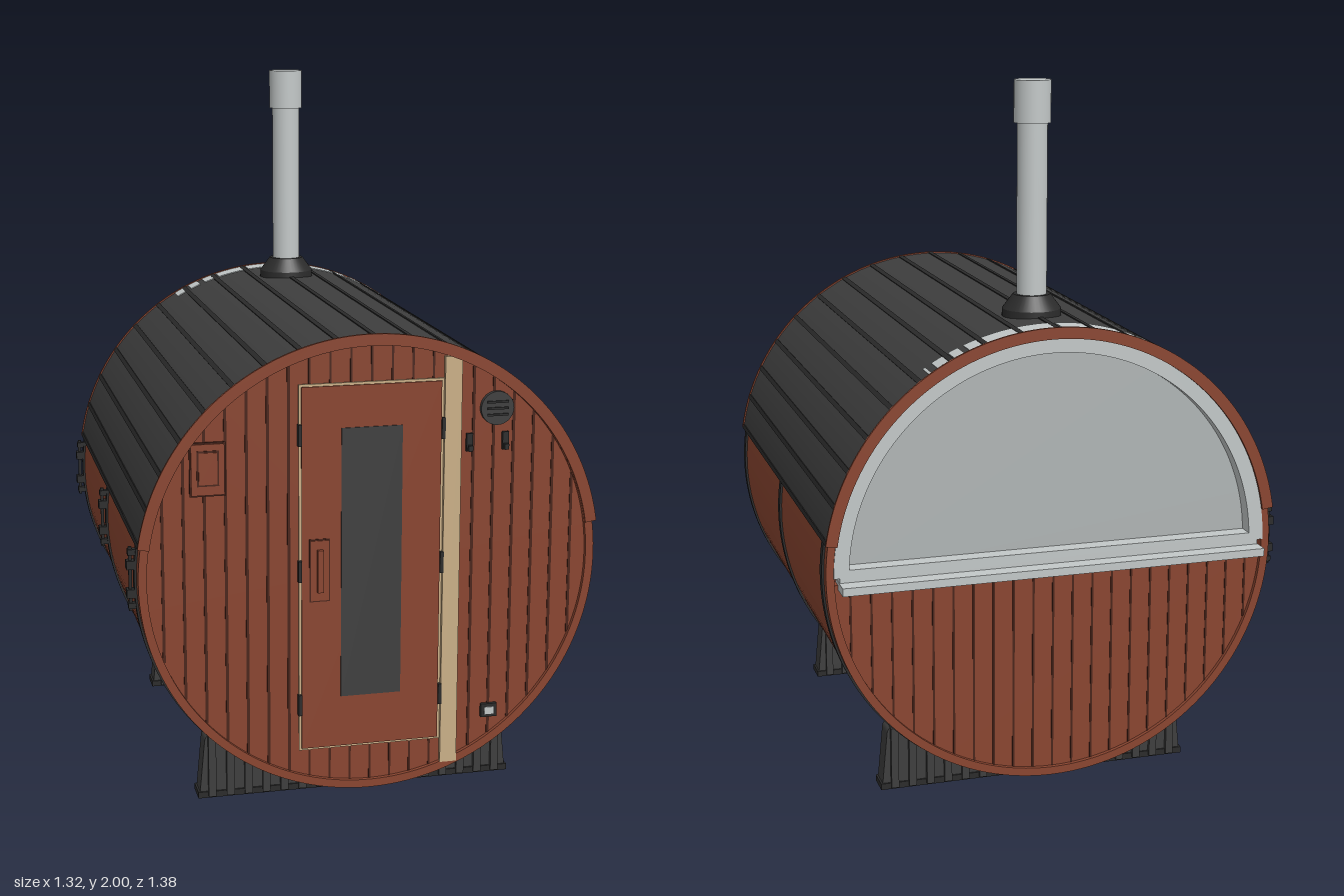
import * as THREE from 'three';
import { toCreasedNormals } from 'three/addons/utils/BufferGeometryUtils.js';

const material = (name, color) => new THREE.MeshStandardMaterial({ name, color });
const CX = 0.006, CY = 0.708; // barrel axis
const DEG = Math.PI / 180;

export function createModel() {
  const root = new THREE.Group();
  root.name = 'barrelSauna';
  const wood = material('redWood', 0x8a4530);
  const groove = material('darkGroove', 0x4a2419);
  const roofMat = material('roofShingle', 0x3e3e3e);
  const dark = material('blackMetal', 0x2b2b2b);
  const glassMat = material('smokedGlass', 0x3f3f3f);
  const cream = material('paleWood', 0xcbb088);
  const silver = material('silver', 0xc3c8c8);
  const pane = material('rearGlass', 0xb0b5b5);

  const add = (name, geo, mat, x = 0, y = 0, z = 0, parent = root) => {
    const m = new THREE.Mesh(geo, mat);
    m.name = name;
    m.position.set(x, y, z);
    parent.add(m);
    return m;
  };
  // Box given by its x, y and z ranges
  const box = (name, mat, x0, x1, y0, y1, z0, z1) => add(name,
    new THREE.BoxGeometry(x1 - x0, y1 - y0, z1 - z0), mat, (x0 + x1) / 2, (y0 + y1) / 2, (z0 + z1) / 2);
  // Curved slab around the barrel axis
  const arc = (name, mat, r0, r1, a0, a1, z0, z1, flat = false) => {
    const s = new THREE.Shape();
    s.absarc(0, 0, r1, a0 * DEG, a1 * DEG, false);
    s.absarc(0, 0, r0, a1 * DEG, a0 * DEG, true);
    const segs = Math.max(2, Math.round((a1 - a0) / (flat ? 5 : 3)));
    const g = new THREE.ExtrudeGeometry(s, { depth: z1 - z0, bevelEnabled: false, curveSegments: segs });
    return add(name, flat ? g : toCreasedNormals(g, 0.5), mat, CX, CY, z0);
  };
  const disc = (name, mat, r, x, y, z0, z1) => {
    const g = new THREE.CylinderGeometry(r, r, z1 - z0, r > 0.3 ? 96 : 28).rotateX(Math.PI / 2);
    return add(name, g, mat, x, y, (z0 + z1) / 2);
  };
  const chord = (x) => Math.sqrt(Math.max(0, 0.62 ** 2 - (x - CX) ** 2));

  // Stave shell and end walls
  arc('staveShellTop', wood, 0.62, 0.643, 0, 180, -0.642, 0.677, true);
  arc('staveShellBottom', wood, 0.62, 0.643, 180, 360, -0.642, 0.677, true);
  disc('frontWall', wood, 0.622, CX, CY, 0.62, 0.665);

  // Front plank grooves, broken by the door
  for (let i = -10; i <= 10; i++) {
    const x = CX + i * 0.0575, h = chord(x);
    if (Math.abs(x - 0.005) < 0.2) {
      box('frontGroove', groove, x - 0.003, x + 0.003, 1.22, CY + h, 0.66, 0.667);
      box('frontGroove', groove, x - 0.003, x + 0.003, CY - h, 0.2, 0.66, 0.667);
    } else {
      box('frontGroove', groove, x - 0.004, x + 0.004, CY - h, CY + h, 0.66, 0.667);
    }
  }

  // Door with glass, handle and hinges
  box('doorFrame', cream, -0.197, 0.207, 0.19, 1.228, 0.66, 0.67);
  box('doorPanel', wood, -0.19, 0.2, 0.196, 1.221, 0.66, 0.674);
  box('doorGlass', glassMat, -0.08, 0.09, 0.342, 1.105, 0.67, 0.677);
  box('doorTrim', cream, 0.208, 0.256, 0.12, 1.288, 0.66, 0.678);
  for (const y of [0.325, 0.71, 1.09]) {
    for (const x of [-0.195, 0.205]) box('hinge', dark, x - 0.005, x + 0.005, y - 0.03, y + 0.03, 0.66, 0.68);
  }
  box('handlePlate', groove, -0.169, -0.111, 0.621, 0.799, 0.67, 0.676);
  box('handleBack', wood, -0.165, -0.115, 0.625, 0.795, 0.67, 0.679);
  box('handleGrip', wood, -0.148, -0.132, 0.65, 0.77, 0.67, 0.69);

  // Framed vent on one side of the door
  box('ventOutline', groove, -0.494, -0.396, 0.936, 1.084, 0.66, 0.671);
  box('ventFrame', wood, -0.49, -0.4, 0.94, 1.08, 0.66, 0.675);
  box('ventInset', groove, -0.475, -0.415, 0.965, 1.062, 0.66, 0.677);
  box('ventSlide', wood, -0.47, -0.42, 0.97, 1.057, 0.66, 0.679);

  // Round vent, lamps and socket on the other side
  disc('roundVent', roofMat, 0.047, 0.358, 1.138, 0.66, 0.678);
  for (let i = -1; i <= 1; i++) {
    box('ventSlat', dark, 0.328, 0.388, 1.135 + i * 0.018, 1.141 + i * 0.018, 0.67, 0.682);
  }
  for (const x of [0.281, 0.384]) {
    box('hookPlate', dark, x - 0.009, x + 0.009, 1.02, 1.07, 0.66, 0.675);
    box('hookPeg', dark, x - 0.006, x + 0.006, 1.022, 1.038, 0.67, 0.687);
  }
  box('socket', dark, 0.328, 0.374, 0.243, 0.282, 0.66, 0.676);
  box('socketInsert', silver, 0.338, 0.364, 0.252, 0.273, 0.67, 0.679);

  // Rear planked wall below the window
  const rear = new THREE.Shape();
  const a = Math.asin((0.685 - CY) / 0.622);
  rear.absarc(0, 0, 0.622, Math.PI - a, 2 * Math.PI + a, false);
  add('rearWall', new THREE.ExtrudeGeometry(rear, { depth: 0.04, bevelEnabled: false, curveSegments: 48 }),
    wood, CX, CY, -0.63);
  for (let i = -10; i <= 10; i++) {
    const x = CX + i * 0.0575;
    box('rearGroove', groove, x - 0.003, x + 0.003, CY - chord(x), 0.68, -0.632, -0.625);
  }

  // Half-round rear window
  const half = new THREE.Shape();
  half.absarc(0, 0, 0.6, a, Math.PI - a, false);
  add('rearGlass', new THREE.ExtrudeGeometry(half, { depth: 0.01, bevelEnabled: false, curveSegments: 48 }),
    pane, CX, CY, -0.6);
  arc('rearWindowFrame', silver, 0.58, 0.622, 0, 180, -0.645, -0.58);
  box('rearWindowRail', silver, -0.6, 0.612, 0.69, 0.73, -0.645, -0.58);
  box('rearSill', silver, -0.602, 0.614, 0.672, 0.695, -0.69, -0.6);

  // Roof shell with standing seams and wooden end trim
  arc('roof', roofMat, 0.642, 0.648, 9, 171, -0.65, 0.678);
  for (const [z0, z1] of [[-0.658, -0.65], [0.678, 0.687]]) arc('roofEndTrim', wood, 0.62, 0.652, 8.5, 171.5, z0, z1);
  for (let i = 0; i <= 18; i++) {
    const t = (9 + i * 9) * DEG;
    const seam = add('roofSeam', new THREE.BoxGeometry(0.007, 0.014, 1.328), dark,
      CX + Math.cos(t) * 0.6475, CY + Math.sin(t) * 0.6475, 0.014);
    seam.rotation.z = t;
  }

  // Bright flashing strips near the rear edge of the roof
  const strips = [[-0.32, -0.29], [-0.276, -0.246], [-0.23, -0.2], [-0.183, -0.1], [-0.085, -0.008],
    [0.012, 0.1], [0.115, 0.2], [0.215, 0.25], [0.265, 0.292], [0.308, 0.338], [0.355, 0.362]];
  const angle = (x) => Math.acos((x - CX) / 0.65) / DEG;
  for (const [x0, x1] of strips) arc('roofFlashing', silver, 0.645, 0.6505, angle(x1), angle(x0), -0.645, -0.58);

  // Steel bands with turnbuckles
  for (const z of [0.63, 0.013, -0.602]) {
    arc('band', dark, 0.64, 0.649, 171, 369, z - 0.013, z + 0.013);
    add('turnbuckleRod', new THREE.CylinderGeometry(0.005, 0.005, 0.18, 10), dark, -0.652, 0.71, z);
    for (const y of [0.67, 0.75]) {
      box('turnbuckleLug', dark, -0.663, -0.632, y - 0.012, y + 0.012, z - 0.013, z + 0.013);
    }
    for (const y of [0.635, 0.785]) {
      box('turnbuckleNut', dark, -0.659, -0.635, y - 0.008, y + 0.008, z - 0.009, z + 0.009);
    }
  }

  // Cradle feet: curved saddle, base plate and stiffening ribs
  const saddle = new THREE.Shape();
  saddle.moveTo(-0.455, 0.012);
  saddle.lineTo(0.455, 0.012);
  saddle.lineTo(0.44, 0.17);
  saddle.quadraticCurveTo(0.437, 0.19, 0.415, 0.19);
  const tilt = Math.asin((CY - 0.19) / 0.643);
  saddle.absarc(0, CY, 0.643, -tilt, -Math.PI + tilt, true);
  saddle.lineTo(-0.415, 0.19);
  saddle.quadraticCurveTo(-0.437, 0.19, -0.44, 0.17);
  for (const z of [0.47, -0.435]) {
    const foot = new THREE.Group();
    foot.name = 'cradleFoot';
    foot.position.set(CX, 0, z);
    root.add(foot);
    add('saddle', new THREE.ExtrudeGeometry(saddle, { depth: 0.06, bevelEnabled: false, curveSegments: 32 }),
      roofMat, 0, 0, -0.03, foot);
    add('basePlate', new THREE.BoxGeometry(0.92, 0.018, 0.07), dark, 0, 0.009, 0, foot);
    for (let i = -8; i <= 8; i++) {
      const x = i * 0.0525;
      const top = Math.min(0.187, CY - Math.sqrt(0.643 ** 2 - x * x));
      add('footRib', new THREE.BoxGeometry(0.022, top - 0.005, 0.084), roofMat, x, (top + 0.005) / 2, 0, foot);
    }
  }

  // Chimney with flared collar and cap
  const chimney = (name, mat, r0, r1, y0, y1) => add(name,
    new THREE.CylinderGeometry(r1, r0, y1 - y0, 40), mat, 0.006, (y0 + y1) / 2, -0.42);
  chimney('chimneyBase', dark, 0.084, 0.082, 1.335, 1.372);
  chimney('chimneyCollar', dark, 0.082, 0.052, 1.372, 1.412);
  chimney('chimneyPipe', silver, 0.042, 0.042, 1.36, 1.95);
  chimney('chimneyCap', silver, 0.051, 0.051, 1.884, 2.0);
  return root;
}
